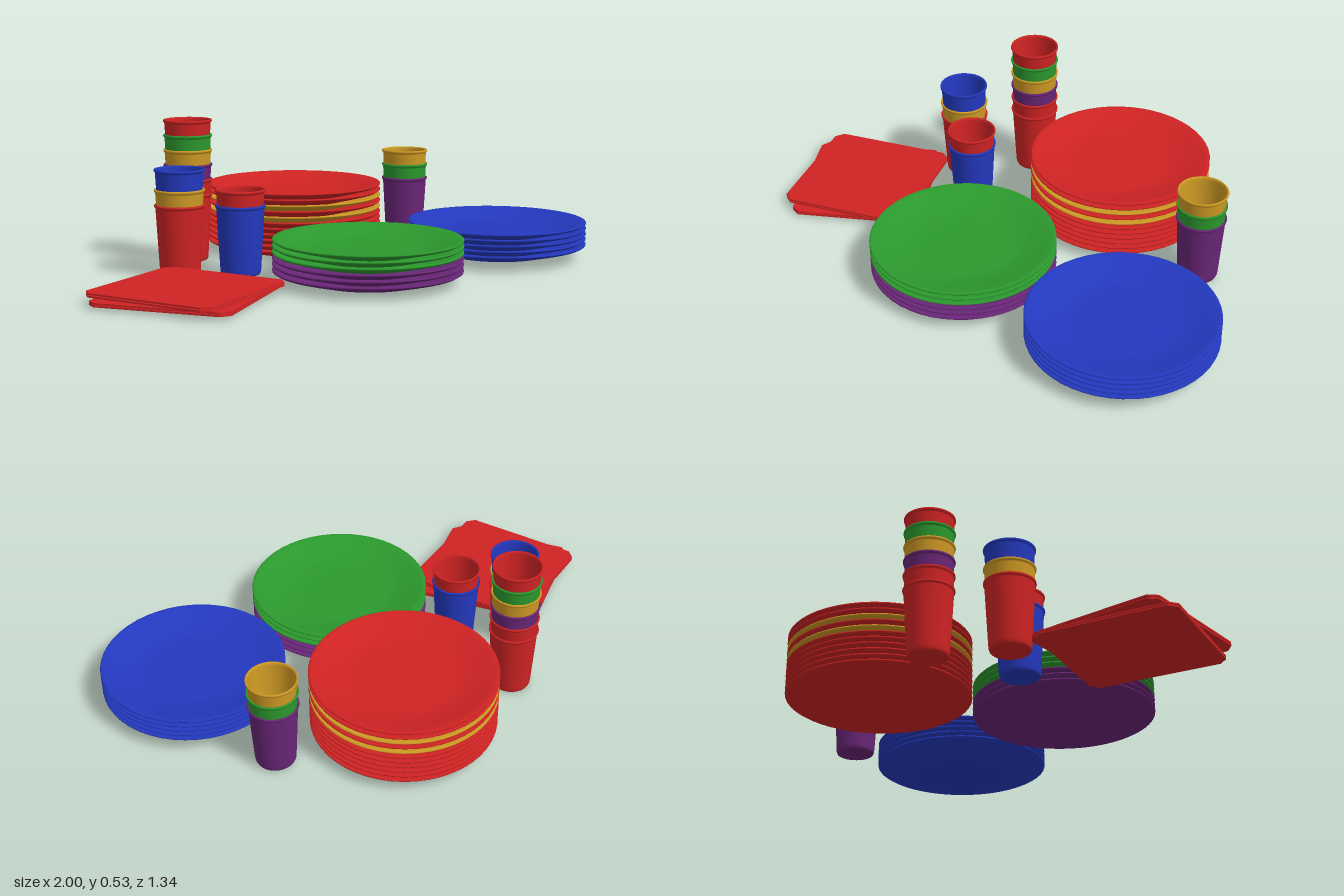
import * as THREE from 'three';

const paint = (name, color) => {
  const m = new THREE.MeshStandardMaterial({ color });
  m.name = name;
  return m;
};

export function createModel() {
  const model = new THREE.Group();
  model.name = 'partyTableware';
  const red = paint('red', 0xd02323);
  const blue = paint('blue', 0x2439c0);
  const green = paint('green', 0x2c9a2e);
  const gold = paint('gold', 0xcf9a24);
  const purple = paint('purple', 0x6a2678);

  const lathe = (points, segments) =>
    new THREE.LatheGeometry(points.map(([r, y]) => new THREE.Vector2(r, y)), segments);

  // Shallow plate: underside, thin rim, then the dished top
  const plateGeometry = lathe([
    [0, 0], [0.19, 0], [0.2, 0.002], [0.29, 0.025], [0.322, 0.034], [0.332, 0.04],
    [0.333, 0.043], [0.33, 0.046], [0.318, 0.045], [0.29, 0.037], [0.245, 0.022],
    [0.2, 0.014], [0.17, 0.012], [0, 0.012],
  ], 48);

  // Tapered cup: floor, outer wall, rolled lip, inner wall, inner floor
  const cupGeometry = lathe([
    [0, 0], [0.062, 0], [0.068, 0.002], [0.071, 0.008], [0.0725, 0.02], [0.085, 0.236],
    [0.0855, 0.24], [0.089, 0.242], [0.09, 0.246], [0.089, 0.25], [0.085, 0.251],
    [0.082, 0.247], [0.0815, 0.24], [0.0695, 0.02], [0.066, 0.008], [0.062, 0.006], [0, 0.006],
  ], 32);

  // Nested pieces, each raised by one step
  const stack = (name, part, geometry, x, z, base, step, colours) => {
    const group = new THREE.Group();
    group.name = name;
    group.position.set(x, base, z);
    colours.forEach((material, i) => {
      const mesh = new THREE.Mesh(geometry, material);
      mesh.name = part + (i + 1);
      mesh.position.y = i * step;
      group.add(mesh);
    });
    model.add(group);
    return group;
  };

  // Plate stacks
  const many = (n, m) => Array(n).fill(m);
  stack('backPlates', 'plate', plateGeometry, 0.1, -0.34, 0, 0.0214,
    [...many(6, red), gold, red, gold, red, red]);
  stack('frontPlates', 'plate', plateGeometry, -0.01, 0.336, 0, 0.0214,
    [...many(3, purple), ...many(3, green)]);
  stack('leftPlates', 'plate', plateGeometry, 0.662, 0.205, 0.012, 0.0202, many(5, blue));

  // Cup stacks
  const step = 0.0545;
  stack('tallCups', 'cup', cupGeometry, -0.363, -0.33, 0.004, step,
    [red, red, purple, gold, green, red]);
  const middle = stack('middleCups', 'cup', cupGeometry, -0.515, -0.1, 0.004, step, [red, gold, blue]);
  middle.children[2].position.y += 0.017;
  stack('shortCups', 'cup', cupGeometry, -0.335, -0.015 + 0.03, 0.004, step, [blue, red]);
  stack('leftCups', 'cup', cupGeometry, 0.572, -0.27, 0.004, step, [purple, green, gold]);

  // Folded napkins: square sheets with clipped corners
  const sheet = (turn) => {
    const points = [];
    for (let k = 0; k < 4; k++) {
      for (const d of [-0.06, 0.06]) {
        const a = turn + k * Math.PI / 2 + d;
        points.push(new THREE.Vector2(0.327 * Math.cos(a), 0.327 * Math.sin(a)));
      }
    }
    const g = new THREE.ExtrudeGeometry(new THREE.Shape(points), { depth: 0.006, bevelEnabled: false });
    return g.rotateX(-Math.PI / 2);
  };
  const napkins = new THREE.Group();
  napkins.name = 'napkins';
  napkins.position.set(-0.675, 0, 0.262);
  [[1.477, 0.01], [1.477, 0.018], [1.284, 0.029], [1.284, 0.038]].forEach(([turn, y], i) => {
    const mesh = new THREE.Mesh(sheet(turn), red);
    mesh.name = 'napkinSheet' + (i + 1);
    mesh.position.y = y;
    napkins.add(mesh);
  });
  model.add(napkins);

  return model;
}
